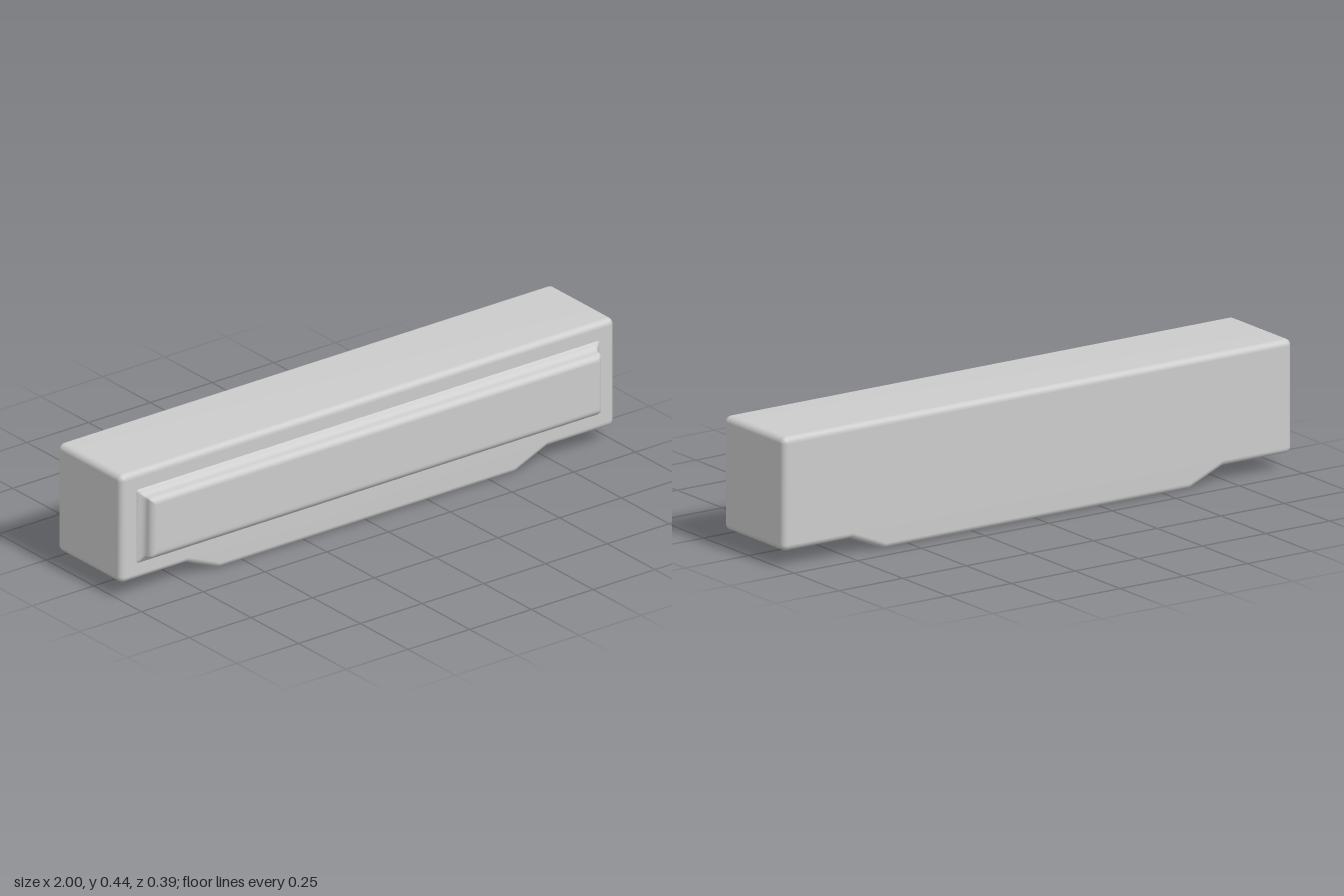
import * as THREE from 'three';
import { mergeVertices } from 'three/addons/utils/BufferGeometryUtils.js';

const material = new THREE.MeshStandardMaterial({ color: 0xcccccc });

// Weld the corners and take area-weighted normals, so flats stay flat and edges stay soft.
function smooth(geometry) {
  geometry.deleteAttribute('uv');
  geometry.deleteAttribute('normal');
  const welded = mergeVertices(geometry, 1e-5);
  welded.computeVertexNormals();
  return welded;
}

// Long housing: outline with a lowered middle section, extruded front to back.
function housingGeometry() {
  const r = 0.021, top = 0.435, low = 0.055;
  const shape = new THREE.Shape();
  shape.moveTo(-0.6, 0);
  shape.lineTo(0.6, 0);
  shape.lineTo(0.73, low);
  shape.lineTo(1 - r, low);
  shape.absarc(1 - r, low + r, r, -Math.PI / 2, 0);
  shape.absarc(1 - r, top - r, r, 0, Math.PI / 2);
  shape.absarc(r - 1, top - r, r, Math.PI / 2, Math.PI);
  shape.absarc(r - 1, low + r, r, Math.PI, Math.PI * 1.5);
  shape.lineTo(-0.73, low);
  const bevel = 0.02, back = -0.193, front = 0.142;
  const geometry = new THREE.ExtrudeGeometry(shape, {
    depth: front - back - 2 * bevel, curveSegments: 6,
    bevelThickness: bevel, bevelSize: bevel, bevelOffset: -bevel, bevelSegments: 6,
  });
  geometry.translate(0, 0, back + bevel);
  return smooth(geometry);
}

// Raised panel: rounded rectangles stacked along z, flared at the root, rounded at the face.
function panelGeometry() {
  const halfW = 0.915, halfH = 0.107, midY = 0.243, steps = 4;
  const profile = [[0.024, 0.138], [0.022, 0.143], [0.014, 0.148], [0.006, 0.154], [0.001, 0.162], [0, 0.17]];
  const round = 0.023;
  for (let i = 1; i <= 6; i++) {
    const a = (i / 6) * Math.PI / 2;
    profile.push([round * (Math.cos(a) - 1), 0.171 + round * Math.sin(a)]);
  }
  const corners = [[-1, -1], [1, -1], [1, 1], [-1, 1]];
  const n = corners.length * (steps + 1);
  const positions = [], index = [];
  for (const [out, z] of profile) {
    const r = 0.008;
    corners.forEach(([sx, sy], c) => {
      for (let k = 0; k <= steps; k++) {
        const a = Math.PI + (c + k / steps) * Math.PI / 2;
        positions.push(sx * (halfW + out - r) + r * Math.cos(a), midY + sy * (halfH + out - r) + r * Math.sin(a), z);
      }
    });
  }
  for (let i = 0; i < profile.length - 1; i++) {
    for (let j = 0; j < n; j++) {
      const a = i * n + j, b = i * n + (j + 1) % n;
      index.push(a, b, a + n, b, b + n, a + n);
    }
  }
  const last = (profile.length - 1) * n;
  for (let j = 1; j < n - 1; j++) index.push(last, last + j, last + j + 1);
  const geometry = new THREE.BufferGeometry();
  geometry.setAttribute('position', new THREE.Float32BufferAttribute(positions, 3));
  geometry.setIndex(index);
  geometry.computeVertexNormals();
  return geometry;
}

export function createModel() {
  const model = new THREE.Group();
  const add = (name, geometry) => {
    const mesh = new THREE.Mesh(geometry, material);
    mesh.name = name;
    model.add(mesh);
  };
  add('housing', housingGeometry());
  add('frontPanel', panelGeometry());
  return model;
}
